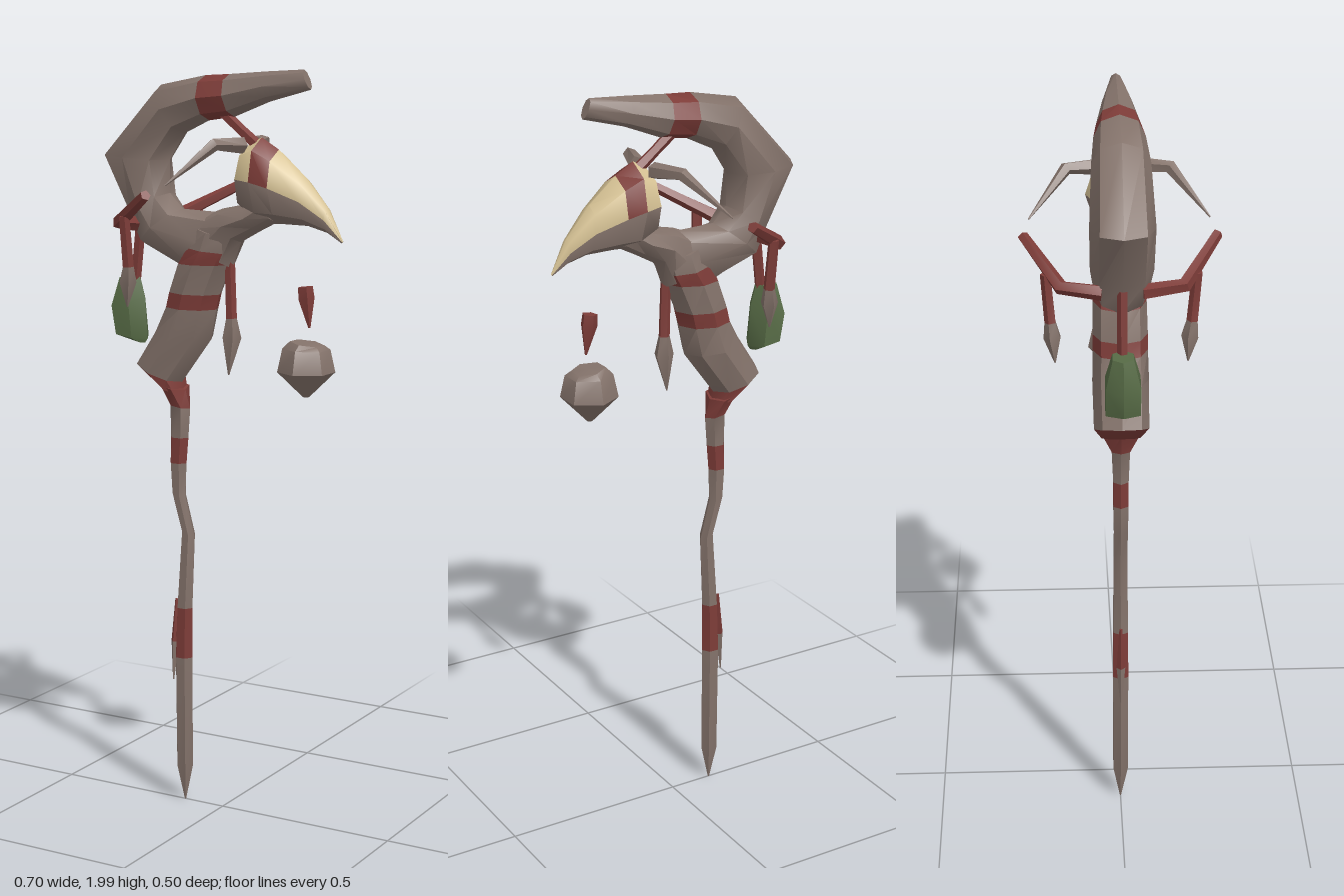
import * as THREE from 'three';
import { toCreasedNormals } from 'three/addons/utils/BufferGeometryUtils.js';

const V = (x, y, z) => new THREE.Vector3(x, y, z);

export function createModel() {
  const model = new THREE.Group();
  const mat = (name, color) => {
    const m = new THREE.MeshStandardMaterial({ color });
    m.name = name;
    return m;
  };
  const bark = mat('bark', 0x83726a);
  const red = mat('redCloth', 0x7d3c38);
  const cream = mat('creamBone', 0xd6c294);
  const green = mat('greenPouch', 0x566a45);

  // Skin a row of rings; paint(segment, side) picks the colour of each quad.
  function loft(name, rings, paint, crease = 0.75) {
    const n = rings[0].length;
    const byMat = new Map();
    let volume = 0;
    const tri = (m, a, b, c) => {
      if (!byMat.has(m)) byMat.set(m, []);
      byMat.get(m).push([a, b, c]);
      volume += a.dot(b.clone().cross(c));
    };
    const centre = (r) => r.reduce((s, p) => s.add(p), V(0, 0, 0)).divideScalar(n);
    const last = rings.length - 1, c0 = centre(rings[0]), c1 = centre(rings[last]);
    for (let k = 0; k < n; k++) {
      const j = (k + 1) % n;
      for (let i = 0; i < last; i++) {
        const m = paint(i, k), p = rings[i], q = rings[i + 1];
        tri(m, p[k], p[j], q[j]);
        tri(m, p[k], q[j], q[k]);
      }
      tri(paint(0, k), c0, rings[0][j], rings[0][k]);
      tri(paint(last - 1, k), c1, rings[last][k], rings[last][j]);
    }
    const pts = [], mats = [...byMat.keys()], geo = new THREE.BufferGeometry();
    mats.forEach((m, g) => {
      const start = pts.length;
      for (const [a, b, c] of byMat.get(m)) pts.push(...(volume > 0 ? [a, b, c] : [a, c, b]));
      geo.addGroup(start, pts.length - start, g);
    });
    geo.setFromPoints(pts);
    const mesh = new THREE.Mesh(toCreasedNormals(geo, crease), mats);
    mesh.name = name;
    model.add(mesh);
    return mesh;
  }

  // Ring between two silhouette points [ax, ay, bx, by, halfDepth].
  const span = (n) => ([ax, ay, bx, by, d]) => Array.from({ length: n }, (_, k) => {
    const t = (k / n) * Math.PI * 2, c = Math.cos(t) / 2;
    return V((ax + bx) / 2 + (ax - bx) * c, (ay + by) / 2 + (ay - by) * c, d * Math.sin(t));
  });

  // Tapered limb through points [x, y, z, radius].
  function limb(name, path, n, paint, crease) {
    const p = path.map(([x, y, z]) => V(x, y, z));
    const rings = p.map((c, i) => {
      const t = p[Math.min(i + 1, p.length - 1)].clone().sub(p[Math.max(i - 1, 0)]).normalize();
      const u = (Math.abs(t.y) > 0.8 ? V(1, 0, 0) : V(0, 1, 0)).cross(t).normalize();
      const w = t.clone().cross(u);
      return Array.from({ length: n }, (_, k) => {
        const a = (k / n) * Math.PI * 2;
        return c.clone().addScaledVector(u, path[i][3] * Math.cos(a)).addScaledVector(w, path[i][3] * Math.sin(a));
      });
    });
    return loft(name, rings, paint, crease);
  }
  const bands = (...segments) => (i) => (segments.includes(i) ? red : bark);

  // Crooked shaft with cloth wraps
  loft('shaft', [
    [-0.121, 0.01, -0.117, 0.01, 0.002],
    [-0.145, 0.11, -0.095, 0.11, 0.023],
    [-0.148, 0.42, -0.095, 0.42, 0.024],
    [-0.142, 0.56, -0.095, 0.56, 0.023],
    [-0.125, 0.78, -0.088, 0.76, 0.021],
    [-0.155, 0.88, -0.116, 0.87, 0.021],
    [-0.162, 0.96, -0.112, 0.96, 0.023],
    [-0.16, 1.03, -0.106, 1.03, 0.023],
    [-0.162, 1.12, -0.1, 1.11, 0.027],
    [-0.18, 1.18, -0.115, 1.16, 0.055],
  ].map(span(6)), bands(2, 6, 8));
  limb('splinter', [[-0.145, 0.58, 0, 0.004], [-0.15, 0.46, 0, 0.012], [-0.156, 0.35, 0, 0.002]], 4, bands(0));

  // Thick trunk below the fork
  loft('trunk', [
    [-0.185, 1.175, -0.12, 1.15, 0.05],
    [-0.255, 1.235, -0.125, 1.18, 0.07],
    [-0.2, 1.32, -0.035, 1.3, 0.072],
    [-0.165, 1.385, -0.02, 1.38, 0.07],
    [-0.155, 1.425, -0.01, 1.42, 0.07],
    [-0.13, 1.5, 0.025, 1.5, 0.068],
    [-0.1, 1.545, 0.04, 1.53, 0.068],
    [-0.08, 1.6, 0.045, 1.57, 0.06],
  ].map(span(8)), bands(0, 3, 5));

  // Great hook curling up and over
  loft('hook', [
    [-0.1, 1.48, 0.0, 1.635, 0.055],
    [-0.24, 1.545, -0.12, 1.64, 0.07],
    [-0.265, 1.62, -0.16, 1.68, 0.078],
    [-0.355, 1.78, -0.16, 1.765, 0.08],
    [-0.185, 1.96, -0.115, 1.835, 0.072],
    [-0.05, 1.985, -0.04, 1.87, 0.064],
    [0.02, 1.988, 0.035, 1.88, 0.056],
    [0.13, 1.995, 0.14, 1.92, 0.038],
    [0.235, 2.0, 0.255, 1.95, 0.016],
  ].map(span(8)), bands(5));

  // Short branch carrying the head
  loft('headBranch', [
    [-0.09, 1.61, 0.03, 1.49, 0.055],
    [0.0, 1.645, 0.055, 1.56, 0.06],
    [0.075, 1.66, 0.11, 1.59, 0.06],
    [0.13, 1.7, 0.16, 1.615, 0.05],
  ].map(span(8)), () => bark);

  // Beaked head: bone above, bark below, one cloth band
  loft('beakedHead', [
    [0.078, 1.81, 0.07, 1.64, 0.07],
    [0.115, 1.83, 0.125, 1.61, 0.082],
    [0.165, 1.8, 0.175, 1.612, 0.074],
    [0.24, 1.735, 0.25, 1.61, 0.045],
    [0.305, 1.66, 0.305, 1.595, 0.022],
    [0.35, 1.575, 0.346, 1.57, 0.002],
  ].map(span(8)), (i, k) => (k > 1 && k < 6 ? bark : i === 1 ? red : cream));
  limb('headStrap', [[-0.01, 1.9, 0, 0.016], [0.05, 1.85, 0, 0.014], [0.1, 1.81, 0, 0.016]], 5, () => red);

  // Paired side parts
  for (const s of [1, -1]) {
    limb('horn', [[0.08, 1.81, 0.04 * s, 0.022], [0.05, 1.815, 0.13 * s, 0.017], [-0.037, 1.715, 0.225 * s, 0.002]], 5, () => bark);
    limb('clothArm', [[-0.235, 1.6, 0.05 * s, 0.02], [-0.222, 1.61, 0.15 * s, 0.019], [-0.085, 1.69, 0.24 * s, 0.014]], 5, () => red);
    limb('sidePendant', [[-0.185, 1.63, 0.185 * s, 0.014], [-0.18, 1.5, 0.175 * s, 0.015],
      [-0.185, 1.46, 0.17 * s, 0.023], [-0.19, 1.395, 0.165 * s, 0.002]], 5, bands(0));
  }

  // Central pendant under the fork
  limb('frontPendant', [[0.02, 1.54, 0, 0.014], [0.026, 1.36, 0, 0.015], [0.027, 1.31, 0, 0.026], [0.018, 1.21, 0, 0.002]], 5, bands(0));

  // Hanging pouch
  limb('pouchCord', [[-0.25, 1.61, 0, 0.014], [-0.27, 1.43, 0, 0.014]], 5, () => red);
  loft('pouch', [
    [-0.32, 1.45, -0.255, 1.455, 0.03],
    [-0.345, 1.37, -0.24, 1.4, 0.05],
    [-0.33, 1.305, -0.232, 1.29, 0.05],
    [-0.27, 1.285, -0.24, 1.278, 0.02],
  ].map(span(6)), () => green);

  // Loose charm: shard and stone
  limb('shard', [[0.243, 1.455, 0, 0.02], [0.246, 1.425, 0, 0.022], [0.256, 1.35, 0, 0.003]], 5, () => red);
  limb('stone', [[0.25, 1.31, 0, 0.045], [0.248, 1.295, 0, 0.062], [0.248, 1.235, 0, 0.075], [0.248, 1.17, 0, 0.008]], 6, () => bark);

  return model;
}
